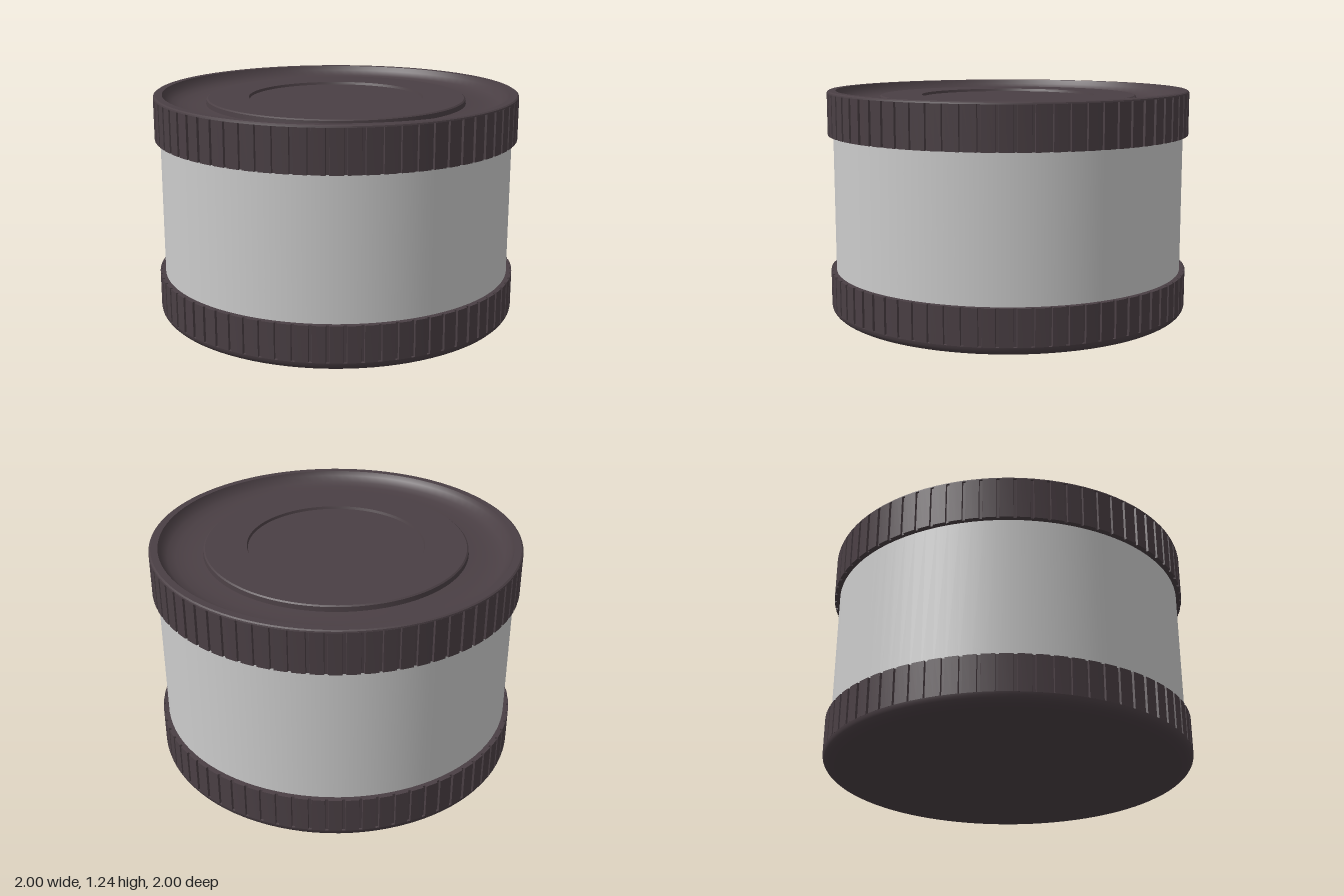
import * as THREE from 'three';
import { toCreasedNormals } from 'three/addons/utils/BufferGeometryUtils.js';

const SEGMENTS = 96;
const RIBS = 72;

// Revolves a profile running from the bottom axis, outward, up and back to the axis
function revolve(name, points, material) {
  const profile = points.map(([r, y]) => new THREE.Vector2(r, y));
  const geometry = toCreasedNormals(new THREE.LatheGeometry(profile, SEGMENTS), 0.5);
  const mesh = new THREE.Mesh(geometry, material);
  mesh.name = name;
  return mesh;
}

// Ring of flat grip ribs separated by narrow grooves
function gripRing(name, y0, y1, material) {
  const outer = 1, groove = 0.988, pitch = (Math.PI * 2) / RIBS;
  const shape = new THREE.Shape();
  for (let i = 0; i < RIBS; i++) {
    const corners = [[-0.39, outer], [0, outer], [0.39, outer], [0.42, groove], [0.58, groove]];
    corners.forEach(([t, r], k) => {
      const a = (i + t) * pitch;
      const x = r * Math.cos(a), y = r * Math.sin(a);
      if (i === 0 && k === 0) shape.moveTo(x, y);
      else shape.lineTo(x, y);
    });
  }
  shape.closePath();
  const hole = new THREE.Path();
  hole.absarc(0, 0, 0.96, 0, Math.PI * 2, true);
  shape.holes.push(hole);
  const geometry = new THREE.ExtrudeGeometry(shape, { depth: y1 - y0, bevelEnabled: false, curveSegments: 48 });
  geometry.rotateX(-Math.PI / 2);
  geometry.translate(0, y0, 0);
  const mesh = new THREE.Mesh(toCreasedNormals(geometry, 0.3), material);
  mesh.name = name;
  return mesh;
}

export function createModel() {
  const grey = new THREE.MeshStandardMaterial({ color: 0xcccccc });
  const dark = new THREE.MeshStandardMaterial({ color: 0x4a3f44 });
  const model = new THREE.Group();
  model.name = 'roundTin';

  // Plain cylindrical body between the two caps
  const body = new THREE.Mesh(new THREE.CylinderGeometry(0.97, 0.97, 0.96, SEGMENTS), grey);
  body.name = 'body';
  body.position.y = 0.62;
  model.add(body);

  // Base cap: flat underside with a rounded lower edge
  const base = new THREE.Group();
  base.name = 'baseCap';
  const basePoints = [[0, 0], [0.93, 0]];
  for (let i = 1; i <= 6; i++) {
    const a = (i / 6) * Math.PI / 2;
    basePoints.push([0.93 + 0.07 * Math.sin(a), 0.05 * (1 - Math.cos(a))]);
  }
  basePoints.push([0.985, 0.052], [0.985, 0.238], [0, 0.238]);
  base.add(revolve('baseShell', basePoints, dark));
  base.add(gripRing('baseGrip', 0.05, 0.245, dark));
  model.add(base);

  // Lid: raised rim, shallow channel, raised ring and recessed centre disc
  const lid = new THREE.Group();
  lid.name = 'lid';
  lid.add(revolve('lidShell', [
    [0, 1.005], [0.985, 1.005], [0.985, 1.228], [1, 1.228], [0.998, 1.235], [0.99, 1.24],
    [0.952, 1.24], [0.94, 1.215], [0.905, 1.187], [0.86, 1.177], [0.8, 1.172], [0.715, 1.18],
    [0.712, 1.205], [0.704, 1.211], [0.48, 1.211], [0.475, 1.197], [0, 1.197],
  ], dark));
  lid.add(gripRing('lidGrip', 1.0, 1.228, dark));
  model.add(lid);

  return model;
}
